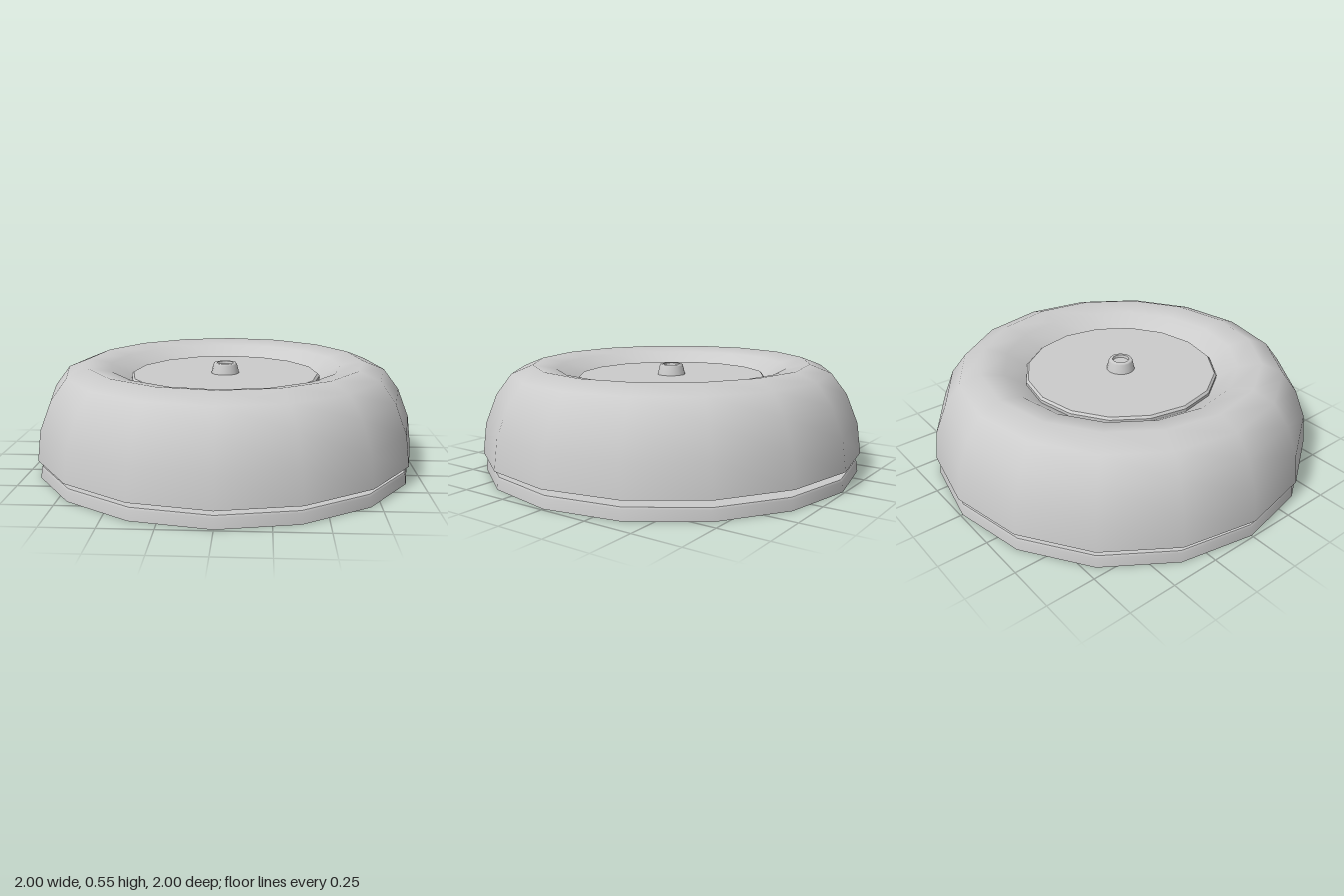
import * as THREE from 'three';

const SIDES = 16;
const smooth = new THREE.MeshStandardMaterial({ color: 0xcccccc, side: THREE.DoubleSide });
const faceted = new THREE.MeshStandardMaterial({ color: 0xcccccc, flatShading: true, side: THREE.DoubleSide });

// Turned part from [radius, height] pairs, listed from the bottom outwards and up
function turned(name, profile, material, sides = SIDES) {
  const points = profile.map(([r, y]) => new THREE.Vector2(r, y));
  const mesh = new THREE.Mesh(new THREE.LatheGeometry(points, sides), material);
  mesh.name = name;
  return mesh;
}

export function createModel() {
  const model = new THREE.Group();
  model.name = 'roundCushionedButton';

  // Base: a shallow tray turned upside down, hollow underneath
  model.add(turned('baseRim', [[0.99, 0], [0.984, 0.05], [0.978, 0.06]], smooth));
  model.add(turned('basePlate', [[0.978, 0.06], [0, 0.065]], faceted));

  // Upper body floats above the base and leans forward very slightly
  const upper = new THREE.Group();
  upper.name = 'upperBody';
  upper.rotation.x = 0.006;
  model.add(upper);

  // Puffy ring that curls down towards the middle
  upper.add(turned('puffyRing', [
    [1, 0.094], [0.98, 0.25], [0.92, 0.4], [0.84, 0.505],
    [0.73, 0.549], [0.61, 0.525], [0.5, 0.45],
  ], smooth));
  upper.add(turned('underside', [[0, 0.094], [1, 0.094]], faceted));

  // Thin disc set almost flush in the hollow
  upper.add(turned('centreDisc', [[0.503, 0.445], [0.503, 0.468], [0.492, 0.479], [0, 0.479]], faceted));

  // Small tapered knob with a shallow recess in its top
  upper.add(turned('knob', [
    [0.074, 0.479], [0.063, 0.525], [0.058, 0.533], [0.043, 0.533],
  ], smooth));
  upper.add(turned('knobRecess', [[0.043, 0.533], [0.04, 0.52], [0, 0.52]], faceted));

  return model;
}
